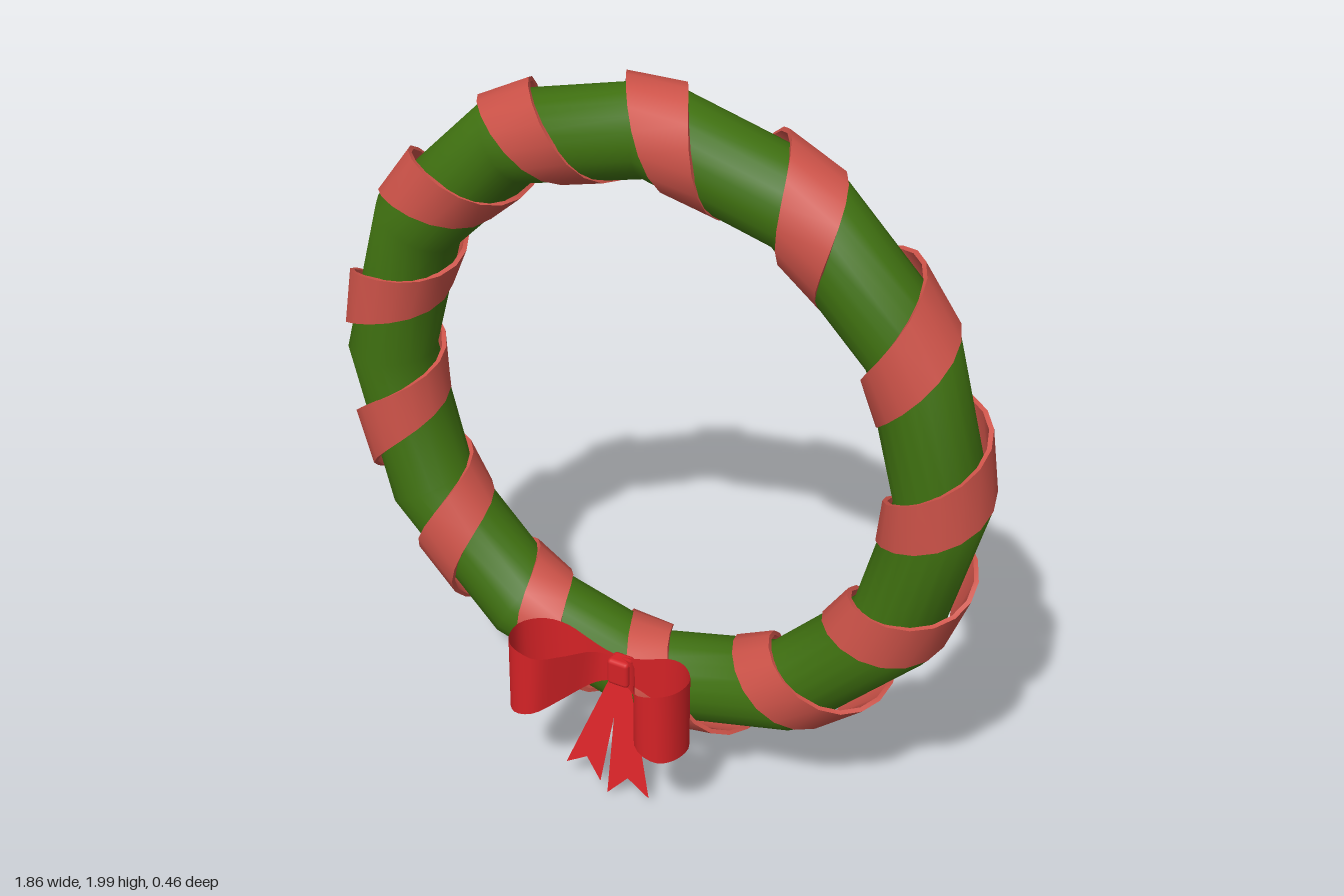
import * as THREE from 'three';
import { toCreasedNormals } from 'three/addons/utils/BufferGeometryUtils.js';
import { RoundedBoxGeometry } from 'three/addons/geometries/RoundedBoxGeometry.js';

const CENTER_Y = 1.073, RING_Z = -0.1, BOW_X = -0.02, BOW_Y = 0.37;

const mat = (name, color, side = THREE.FrontSide) => {
  const m = new THREE.MeshStandardMaterial({ color, side });
  m.name = name;
  return m;
};

const add = (group, name, geometry, material) => {
  const mesh = new THREE.Mesh(geometry, material);
  mesh.name = name;
  group.add(mesh);
  return mesh;
};

const indexed = (pos, idx) => {
  const g = new THREE.BufferGeometry();
  g.setAttribute('position', new THREE.Float32BufferAttribute(pos, 3));
  g.setIndex(idx);
  g.computeVertexNormals();
  return g;
};

// Flat band with a thin rectangular section, wound 13 times round the ring
function wrapGeometry() {
  const turns = 13, perTurn = 16, n = turns * perTurn;
  const half = THREE.MathUtils.degToRad(5.2), start = THREE.MathUtils.degToRad(82.7);
  const pos = [], idx = [];
  for (let i = 0; i < n; i++) {
    const phi = (i / perTurn) * Math.PI * 2;
    const theta = start - (phi - Math.PI / 2) / turns;
    for (const [inset, side] of [[0, 1], [0, -1], [0.012, -1], [0.012, 1]]) {
      const a = theta + side * half;
      const rho = 0.79 + (0.138 - inset) * Math.cos(phi);
      pos.push(rho * Math.cos(a), rho * Math.sin(a), (0.13 - inset) * Math.sin(phi));
    }
    const p = i * 4, q = ((i + 1) % n) * 4;
    for (let k = 0; k < 4; k++) {
      const j = (k + 1) % 4;
      idx.push(p + k, q + k, p + j, p + j, q + k, q + j);
    }
  }
  return toCreasedNormals(indexed(pos, idx), 0.7);
}

// Teardrop loop seen from above, its strip widening away from the knot
function loopGeometry(side) {
  const path = new THREE.CatmullRomCurve3([
    [0.01, 0.04], [0.1, 0.04], [0.16, 0.045], [0.22, 0.075], [0.258, 0.125],
    [0.25, 0.19], [0.215, 0.225], [0.155, 0.222], [0.11, 0.155], [0.06, 0.07], [0.01, 0.045],
  ].map(([x, z]) => new THREE.Vector3(x, 0, z)));
  const steps = 32, pos = [], idx = [];
  for (let i = 0; i <= steps; i++) {
    const p = path.getPoint(i / steps);
    const h = 0.04 + 0.068 * THREE.MathUtils.smoothstep(p.x, 0, 0.24);
    pos.push(side * p.x, h, p.z, side * p.x, -h, p.z);
    if (i < steps) {
      const a = i * 2;
      idx.push(a, a + 1, a + 2, a + 2, a + 1, a + 3);
    }
  }
  return indexed(pos, idx);
}

// Notched ribbon end leaning forward towards the bottom
function tailGeometry(points) {
  const g = new THREE.ShapeGeometry(new THREE.Shape(points.map(([x, y]) => new THREE.Vector2(x, y))));
  const p = g.attributes.position;
  for (let i = 0; i < p.count; i++) p.setZ(i, 0.04 + (0.35 - p.getY(i)) * 0.25);
  g.computeVertexNormals();
  return g;
}

export function createModel() {
  const green = mat('wreath green', 0x3f7010);
  const salmon = mat('wrap red', 0xcc5248);
  const red = mat('bow red', 0xd42226, THREE.DoubleSide);

  const model = new THREE.Group();
  model.name = 'wreath';

  // Ring and its spiral wrap
  const ring = new THREE.Group();
  ring.name = 'ring';
  ring.position.set(0, CENTER_Y, RING_Z);
  add(ring, 'ringBody', new THREE.TorusGeometry(0.8, 0.12, 20, 12), green);
  add(ring, 'spiralWrap', wrapGeometry(), salmon);
  model.add(ring);

  // Bow
  const bow = new THREE.Group();
  bow.name = 'bow';
  for (const side of [-1, 1]) {
    add(bow, side > 0 ? 'leftLoop' : 'rightLoop', loopGeometry(side), red)
      .position.set(BOW_X, BOW_Y, 0);
  }
  add(bow, 'knot', new RoundedBoxGeometry(0.065, 0.08, 0.05, 2, 0.012), red)
    .position.set(BOW_X + 0.008, BOW_Y, 0.045);
  add(bow, 'rightTail', tailGeometry(
    [[-0.04, 0.35], [-0.145, 0.055], [-0.085, 0.09], [-0.035, 0.035], [-0.01, 0.35]]), red);
  add(bow, 'leftTail', tailGeometry(
    [[-0.025, 0.35], [-0.01, 0.01], [0.045, 0.07], [0.115, 0.035], [0.01, 0.35]]), red);
  model.add(bow);

  return model;
}
